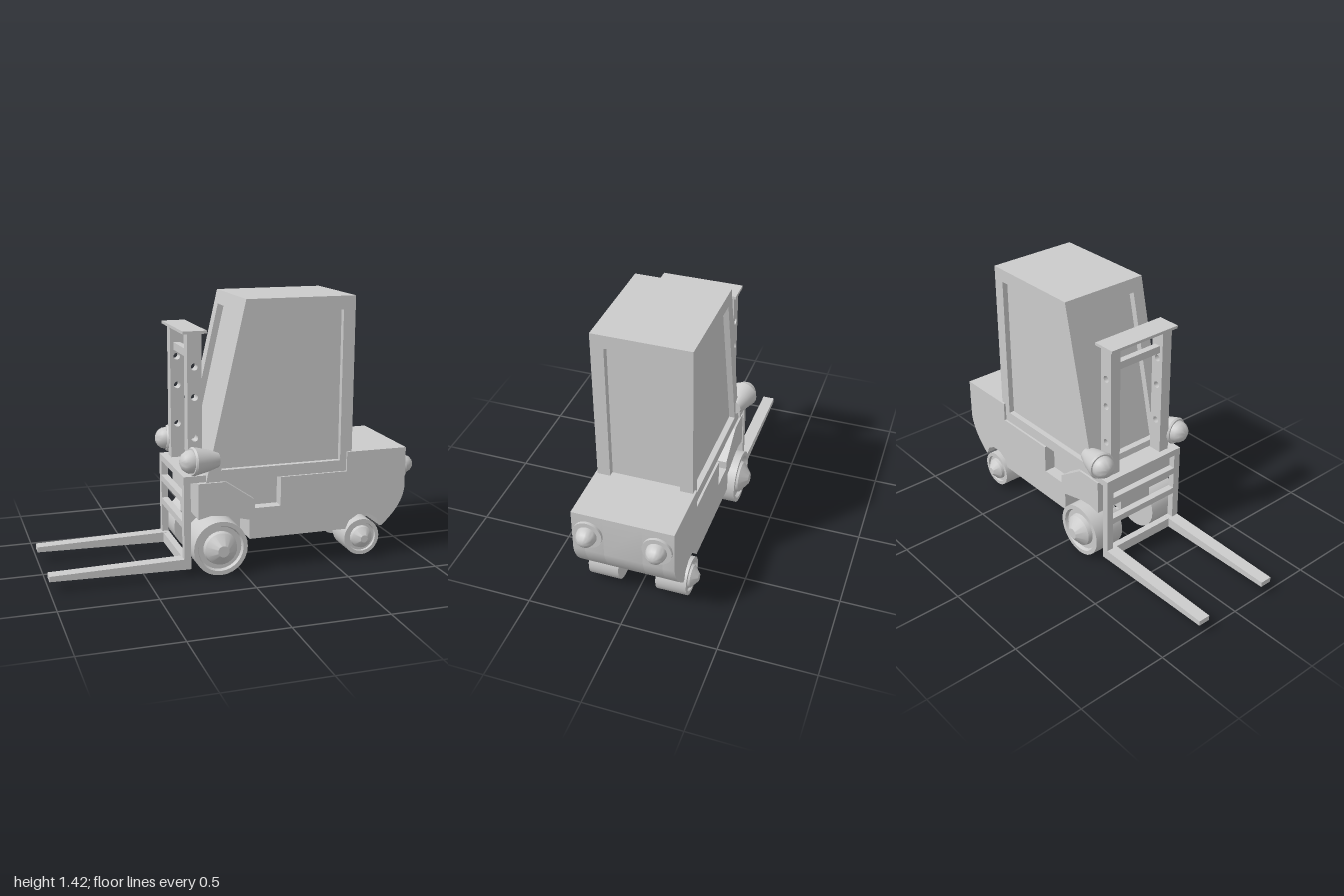
import * as THREE from 'three';
import { toCreasedNormals } from 'three/addons/utils/BufferGeometryUtils.js';

const mat = new THREE.MeshStandardMaterial({ color: 0xcccccc, side: THREE.DoubleSide });
const vecs = (pts) => pts.map(([x, y]) => new THREE.Vector2(x, y));

function add(parent, name, geo) {
  const mesh = new THREE.Mesh(geo, mat);
  mesh.name = name;
  parent.add(mesh);
  return mesh;
}

// Side profile extruded between two z planes
function slab(parent, name, pts, z0, z1, holes = []) {
  const shape = new THREE.Shape(vecs(pts));
  shape.holes.push(...holes);
  const geo = new THREE.ExtrudeGeometry(shape, { depth: z1 - z0, bevelEnabled: false, curveSegments: 10 });
  geo.translate(0, 0, z0);
  return add(parent, name, toCreasedNormals(geo, 0.5));
}

// Box given by its minimum and maximum on each axis
function box(parent, name, x0, x1, y0, y1, z0, z1) {
  const geo = new THREE.BoxGeometry(x1 - x0, y1 - y0, z1 - z0);
  geo.translate((x0 + x1) / 2, (y0 + y1) / 2, (z0 + z1) / 2);
  return add(parent, name, geo);
}

// Turned part from [radius, height] pairs along +y
const lathe = (pts, seg = 28) => toCreasedNormals(new THREE.LatheGeometry(vecs(pts), seg), 0.6);

function rod(parent, name, x, y, r, halfLength) {
  const geo = new THREE.CylinderGeometry(r, r, halfLength * 2, 16);
  geo.rotateX(Math.PI / 2);
  add(parent, name, geo).position.set(x, y, 0);
}

export function createModel() {
  const model = new THREE.Group();
  model.name = 'forklift';
  const chassis = new THREE.Group();
  chassis.name = 'chassis';
  chassis.position.z = 0.004;
  model.add(chassis);

  // Body: layers with wheel arches, and a step pocket in the outermost ones
  const curve = new THREE.QuadraticBezierCurve(
    new THREE.Vector2(0.79, 0.175), new THREE.Vector2(0.905, 0.27), new THREE.Vector2(0.92, 0.37));
  const rear = [...curve.getPoints(6).map((p) => [p.x, p.y]), [0.92, 0.6], [0.58, 0.6], [0.58, 0.495]];
  const rearArch = [[0.58, 0.175], [0.6, 0.22], [0.65, 0.25], [0.71, 0.25], [0.76, 0.22], [0.78, 0.175]];
  const frontArch = [[-0.235, 0.305], [-0.17, 0.32], [-0.1, 0.315], [0.04, 0.28], [0.04, 0.175]];
  const pocket = [[0.21, 0.495], [0.21, 0.34], [0.07, 0.34], [0.07, 0.385], [-0.09, 0.495]];
  const front = [[-0.235, 0.495]];
  slab(chassis, 'bodyCore', [[-0.235, 0.25], [-0.1, 0.25], [-0.02, 0.175], ...rear, ...front], -0.1, 0.1);
  for (const s of [-1, 1]) {
    const layer = (name, pts, a, b) => slab(chassis, name, pts, Math.min(s * a, s * b), Math.max(s * a, s * b));
    layer('bodySide', [...frontArch, ...rearArch, ...rear, ...front], 0.1, 0.2);
    layer('bodyPanel', [...frontArch, ...rearArch, ...rear, ...pocket, ...front], 0.2, 0.262);
  }

  // Cab: notched centre for front and rear windows, solid pillars, side frames around the glass
  const slope = (y) => -0.19 + (y - 0.495) * 0.228;
  const cabOutline = [[slope(0.495), 0.495], [0.61, 0.495], [0.61, 1.42], [slope(1.42), 1.42]];
  const inset = 0.035;
  slab(chassis, 'cabCentre', [
    [slope(0.495), 0.495], [0.61 - inset, 0.495], [0.61 - inset, 1.35], [0.61, 1.35], [0.61, 1.42],
    [slope(1.42), 1.42], [slope(1.35), 1.35], [slope(1.35) + inset, 1.35],
    [slope(0.56) + inset, 0.56], [slope(0.56), 0.56],
  ], -0.183, 0.183);
  const sideWindow = () => new THREE.Path(vecs([[-0.11, 0.555], [0.07, 1.35], [0.545, 1.35], [0.545, 0.555]]));
  for (const s of [-1, 1]) {
    const z = (a, b) => (s > 0 ? [a, b] : [-b, -a]);
    slab(chassis, 'cabPillars', cabOutline, ...z(0.183, 0.22));
    slab(chassis, 'sideWindowFrame', cabOutline, ...z(0.22, 0.25), [sideWindow()]);
  }

  // Mast: two drilled posts, a crossbar and a cap plate
  const mast = new THREE.Group();
  mast.name = 'mast';
  model.add(mast);
  for (const s of [-1, 1]) {
    const holes = [0.72, 0.93, 1.085].map((y) =>
      new THREE.Path().absarc(-0.233, y, 0.018, 0, Math.PI * 2, true));
    slab(mast, 'mastPost', [[-0.27, 0.5], [-0.195, 0.5], [-0.195, 1.255], [-0.27, 1.255]],
      s * 0.17 - 0.03, s * 0.17 + 0.03, holes);
  }
  box(mast, 'mastCrossbar', -0.25, -0.215, 1.12, 1.16, -0.15, 0.15);
  box(mast, 'mastCap', -0.295, -0.17, 1.252, 1.267, -0.215, 0.215);

  // Carriage: ladder frame with a top shelf
  const carriage = new THREE.Group();
  carriage.name = 'carriage';
  model.add(carriage);
  box(carriage, 'carriageShelf', -0.308, -0.19, 0.5, 0.535, -0.255, 0.255);
  for (const y of [0.04, 0.255, 0.385]) {
    box(carriage, 'carriageRail', -0.308, -0.272, y, y + (y < 0.1 ? 0.055 : 0.035), -0.255, 0.255);
  }
  for (const s of [-1, 1]) {
    const c = s * 0.235;
    box(carriage, 'carriageUpright', -0.308, -0.272, 0.04, 0.535, c - 0.02, c + 0.02);
    // Tapered fork
    slab(carriage, 'fork', [[-1, 0.055], [-0.272, 0.04], [-0.272, 0.096], [-0.308, 0.096], [-1, 0.083]],
      s * 0.222 - 0.033, s * 0.222 + 0.033);
  }

  // Wheels: tyre, sunken rim ring and conical hub
  const wheels = [
    { name: 'frontWheel', x: -0.12, y: 0.145, geo: lathe([[0, 0.11], [0.145, 0.11], [0.145, 0.288],
      [0.122, 0.288], [0.115, 0.27], [0.09, 0.27], [0.085, 0.293], [0.03, 0.337], [0, 0.337]]) },
    { name: 'rearWheel', x: 0.68, y: 0.117, geo: lathe([[0, 0.1], [0.1, 0.1], [0.1, 0.262],
      [0.08, 0.262], [0.077, 0.25], [0.062, 0.25], [0.058, 0.268], [0.02, 0.3], [0, 0.3]]) },
  ];
  for (const { name, x, y, geo } of wheels) {
    geo.rotateX(Math.PI / 2);
    for (const turn of [0, Math.PI]) {
      const wheel = add(model, name, geo);
      wheel.position.set(x, y, -0.004);
      wheel.rotation.y = turn;
    }
    rod(model, name + 'Axle', x, y, 0.02, 0.12);
  }

  // Headlamps: flared housings with domed lenses, angled out from the cab
  const lampGeo = lathe([[0, 0], [0.04, 0], [0.058, 0.06], [0.074, 0.135], [0.068, 0.145], [0.06, 0.145],
    [0.056, 0.17], [0.042, 0.19], [0.022, 0.202], [0, 0.205]]);
  // Rear lights: flat base ring with a dome
  const rearGeo = lathe([[0, 0], [0.076, 0], [0.076, 0.015], [0.052, 0.015], [0.05, 0.035],
    [0.04, 0.058], [0.024, 0.073], [0, 0.08]]);
  const up = new THREE.Vector3(0, 1, 0);
  for (const s of [-1, 1]) {
    const lamp = add(chassis, 'headlamp', lampGeo);
    lamp.position.set(-0.127, 0.61, s * 0.238);
    lamp.quaternion.setFromUnitVectors(up, new THREE.Vector3(-0.2, 0.008, s * 0.03).normalize());
    const light = add(chassis, 'rearLight', rearGeo);
    light.position.set(0.92, 0.485, s * 0.178);
    light.rotation.z = -Math.PI / 2;
  }
  return model;
}
